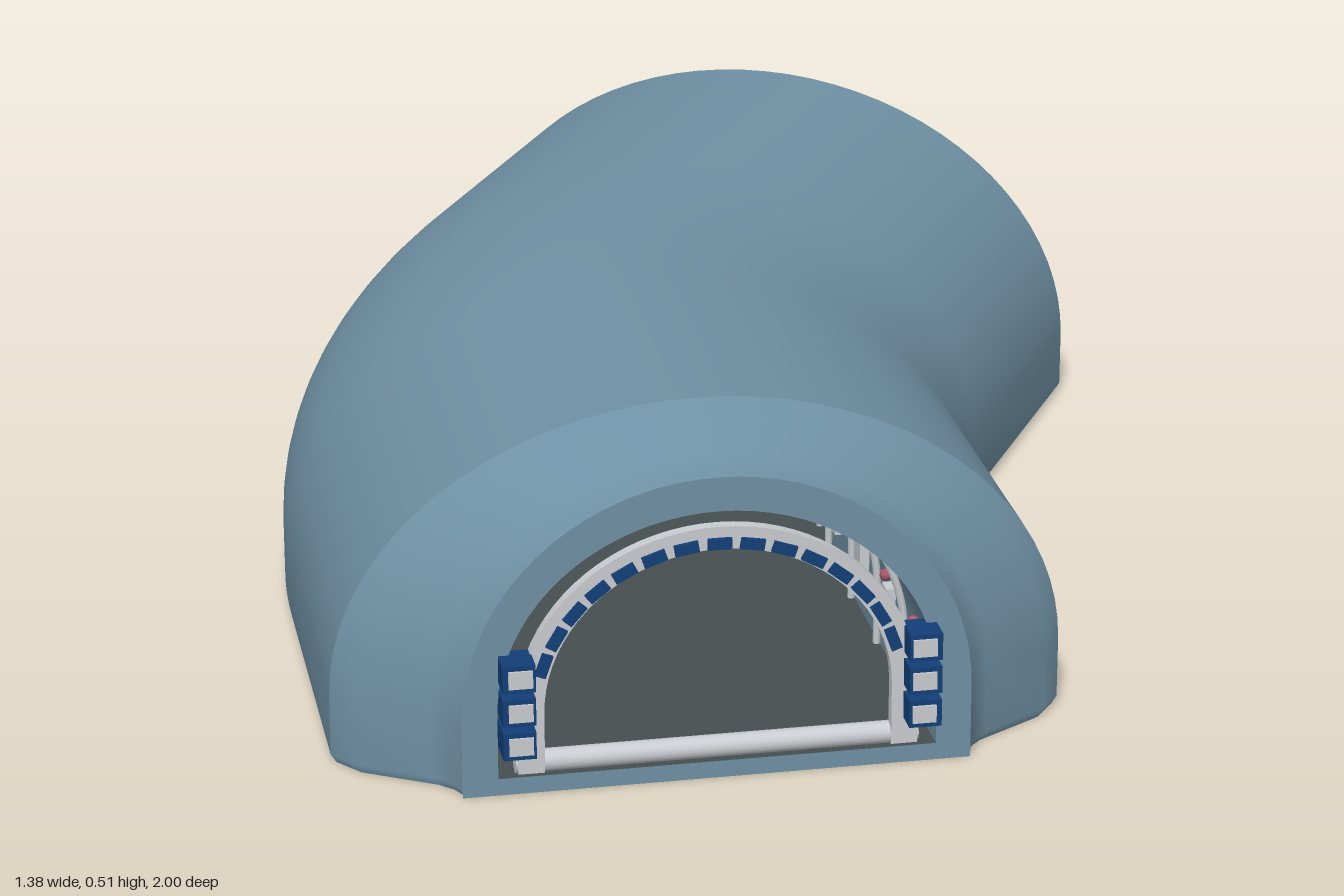
import * as THREE from 'three';

const mat = (name, color, side = THREE.FrontSide) => {
  const m = new THREE.MeshStandardMaterial({ color, side });
  m.name = name;
  return m;
};
const shellBlue = mat('shellBlue', 0x6f90a4);
const floorGrey = mat('floorGrey', 0x464e50);
const frameSilver = mat('frameSilver', 0xc9ccd0);
const clampBlue = mat('clampBlue', 0x123f78);
const lampRed = mat('lampRed', 0xa8566a);

// Path: straight, 30 degree bend, straight
const START_X = -0.17, START_Z = 0.96, S1 = 0.65, R = 1.1, BEND = Math.PI / 6, S2 = 0.66;
const ARC = R * BEND, LENGTH = S1 + ARC + S2;

function frameAt(s) {
  const a = THREE.MathUtils.clamp((s - S1) / R, 0, BEND);
  const before = Math.min(s, S1), after = Math.max(0, s - S1 - ARC);
  return {
    a,
    x: START_X + R * (1 - Math.cos(a)) + after * Math.sin(a),
    z: START_Z - before - R * Math.sin(a) - after * Math.cos(a),
  };
}

// Arch outline from right foot over the crown to left foot
function arch(half, height, spring, foot = 0, n = 40) {
  const pts = [[half, foot]];
  for (let i = 0; i <= n; i++) {
    const t = Math.PI * i / n;
    pts.push([half * Math.cos(t), spring + (height - spring) * Math.sin(t)]);
  }
  pts.push([-half, foot]);
  return pts;
}

// Skin through cross-sections placed along the path
function loft(name, stations, profileAt, material, flip = false) {
  const pos = [], index = [];
  let cols = 0;
  for (const s of stations) {
    const f = frameAt(s), profile = profileAt(s);
    cols = profile.length;
    for (const [u, y] of profile) pos.push(f.x + u * Math.cos(f.a), y, f.z + u * Math.sin(f.a));
  }
  for (let i = 0; i < stations.length - 1; i++) {
    for (let j = 0; j < cols - 1; j++) {
      const p = i * cols + j, q = p + cols;
      if (flip) index.push(p, p + 1, q, p + 1, q + 1, q);
      else index.push(p, q, p + 1, p + 1, q, q + 1);
    }
  }
  const g = new THREE.BufferGeometry();
  g.setAttribute('position', new THREE.Float32BufferAttribute(pos, 3));
  g.setIndex(index);
  g.computeVertexNormals();
  const m = new THREE.Mesh(g, material);
  m.name = name;
  return m;
}

function add(parent, name, geometry, material, x = 0, y = 0, z = 0) {
  const m = new THREE.Mesh(geometry, material);
  m.name = name;
  m.position.set(x, y, z);
  parent.add(m);
  return m;
}

function placed(name, s, turned = false) {
  const g = new THREE.Group(), f = frameAt(s);
  g.name = name;
  g.position.set(f.x, 0, f.z);
  g.rotation.y = -f.a + (turned ? Math.PI : 0);
  return g;
}

const toShape = (pts, Type = THREE.Shape) => new Type(pts.map(p => new THREE.Vector2(p[0], p[1])));

// End taper: distance from the end, half width, height
const TAPER = [[0, 0.36, 0.45], [0.03, 0.375, 0.455], [0.05, 0.395, 0.462], [0.11, 0.495, 0.492], [0.15, 0.525, 0.51]];
function sizeAt(s) {
  const d = Math.min(s, LENGTH - s);
  for (let i = 1; i < TAPER.length; i++) {
    const [d0, w0, h0] = TAPER[i - 1], [d1, w1, h1] = TAPER[i];
    if (d <= d1) {
      const t = (d - d0) / (d1 - d0);
      return [w0 + (w1 - w0) * t, h0 + (h1 - h0) * t];
    }
  }
  return [0.525, 0.51];
}

// Entrance: end wall, arched frame, sill and clamps
function buildPortal(name, s, turned) {
  const g = placed(name, s, turned);
  const wall = toShape(arch(0.36, 0.45, 0.11));
  wall.holes.push(toShape(arch(0.31, 0.4, 0.12, 0.025), THREE.Path));
  add(g, 'endWall', new THREE.ShapeGeometry(wall), shellBlue);

  const ring = toShape([
    ...arch(0.282, 0.378, 0.12, 0.03),
    ...arch(0.245, 0.345, 0.12, 0.03).reverse(),
  ]);
  add(g, 'archFrame', new THREE.ExtrudeGeometry(ring, { depth: 0.018, bevelEnabled: false }), frameSilver, 0, 0, -0.016);

  const sill = add(g, 'sill', new THREE.CylinderGeometry(0.016, 0.016, 0.57, 16), frameSilver, 0, 0.042, -0.015);
  sill.rotation.z = Math.PI / 2;

  const dash = new THREE.BoxGeometry(0.034, 0.016, 0.009);
  for (let i = 0; i < 15; i++) {
    const t = Math.PI * (0.1 + 0.8 * i / 14);
    const m = add(g, 'archClip', dash, clampBlue, 0.258 * Math.cos(t), 0.12 + 0.234 * Math.sin(t), 0.003);
    m.rotation.z = Math.atan2(0.234 * Math.cos(t), -0.258 * Math.sin(t));
  }
  for (const side of [-1, 1]) {
    for (const y of [0.09, 0.14, 0.19]) {
      add(g, 'clamp', new THREE.BoxGeometry(0.046, 0.04, 0.055), clampBlue, side * 0.285, y, 0.012);
      add(g, 'clampPlate', new THREE.BoxGeometry(0.034, 0.026, 0.004), frameSilver, side * 0.283, y, 0.0405);
    }
  }
  return g;
}

export function createModel() {
  const model = new THREE.Group();
  model.name = 'tunnel';

  const bend = Array.from({ length: 25 }, (_, i) => S1 + ARC * i / 24);
  const body = [0.15, ...bend, LENGTH - 0.15];
  const near = TAPER.map(t => t[0]);
  const far = near.map(d => LENGTH - d).reverse();
  const full = [...near, ...bend, ...far];

  // Outer shell with a slightly tucked foot
  const outer = s => {
    const [w, h] = sizeAt(s);
    const pts = arch(w, h, 0.1, 0.012);
    return [[w - 0.008, 0], ...pts, [-w + 0.008, 0]];
  };
  model.add(loft('bodyShell', body, outer, shellBlue));
  model.add(loft('frontTaper', near, outer, shellBlue));
  model.add(loft('backTaper', far, outer, shellBlue));
  model.add(loft('underside', full, s => {
    const w = sizeAt(s)[0] - 0.008;
    return [[-w, 0], [w, 0]];
  }, shellBlue));

  // Interior lining and floor
  model.add(loft('innerLining', full, () => arch(0.31, 0.4, 0.12, 0.025), shellBlue, true));
  model.add(loft('floor', full, () => [[0.31, 0.025], [-0.31, 0.025]], floorGrey));

  // Ribs, with wall panels and lamps between them
  const ribPath = new THREE.CatmullRomCurve3(
    arch(0.303, 0.392, 0.12, 0.03, 24).map(([u, y]) => new THREE.Vector3(u, y, 0)));
  const ribGeo = new THREE.TubeGeometry(ribPath, 60, 0.006, 6);
  const panelGeo = new THREE.BoxGeometry(0.014, 0.055, 0.03);
  const lampGeo = new THREE.SphereGeometry(0.009, 10, 8);
  const COUNT = 10, step = LENGTH / (COUNT + 1);
  for (let i = 0; i <= COUNT; i++) {
    if (i > 0) {
      const rib = placed('ribStation', i * step);
      add(rib, 'rib', ribGeo, frameSilver);
      model.add(rib);
    }
    const bay = placed('wallBay', (i + 0.5) * step);
    for (const side of [-1, 1]) {
      add(bay, 'wallPanel', panelGeo, frameSilver, side * 0.3, 0.13, 0);
      add(bay, 'wallLamp', lampGeo, lampRed, side * 0.295, 0.175, 0);
    }
    model.add(bay);
  }

  model.add(buildPortal('frontPortal', 0, false));
  model.add(buildPortal('backPortal', LENGTH, true));
  return model;
}
